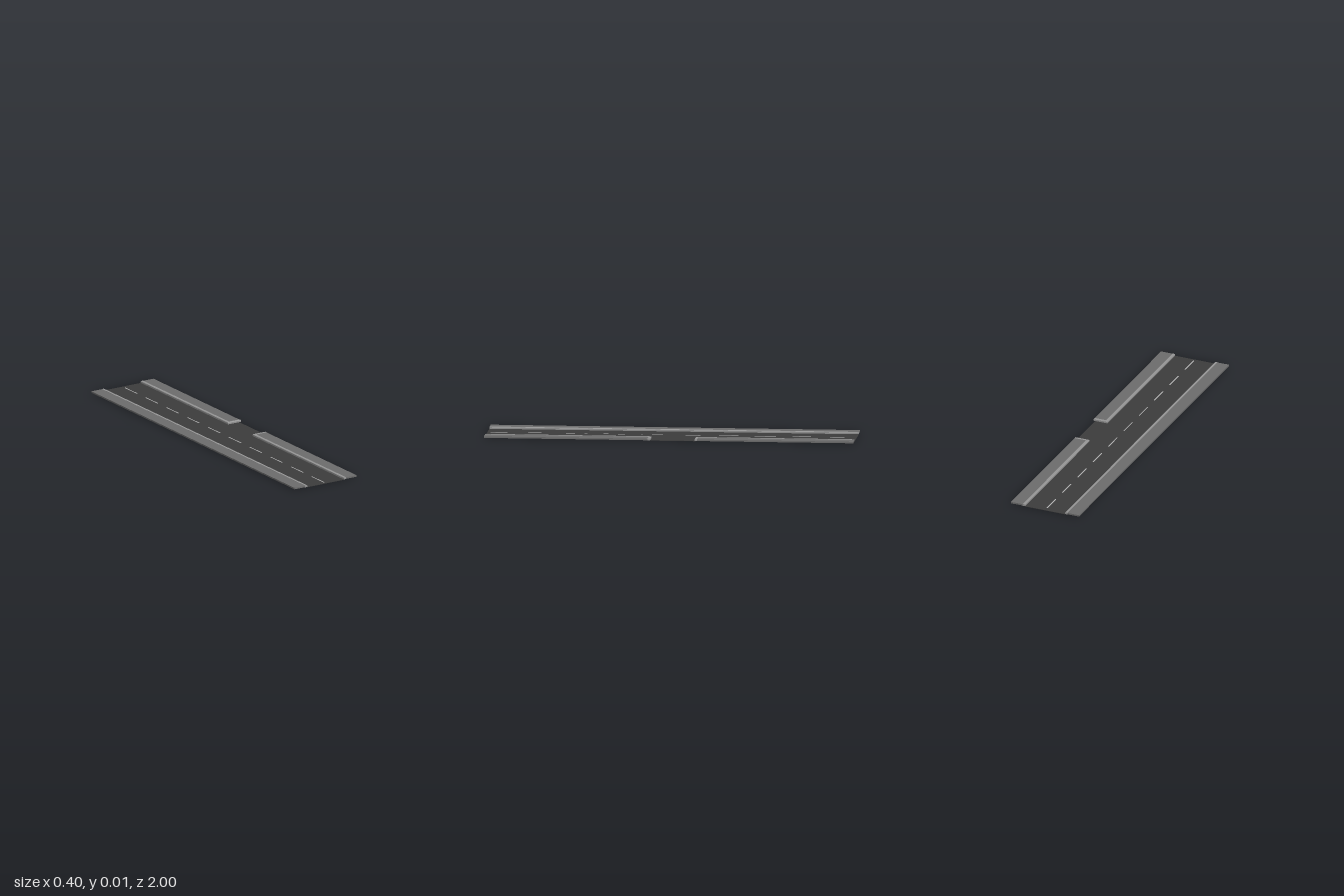
import * as THREE from 'three';

const material = (color) => new THREE.MeshStandardMaterial({ color, flatShading: true, side: THREE.DoubleSide });
const asphalt = material(0x3c3c3c);
const paving = material(0x6c6c6c);
const kerbstone = material(0x949494);
const paint = material(0xb4b4b4);

// Kerb cross-section: distance back from the road edge, height
const KERB = [[0, 0.002], [0, 0.0105], [0.002, 0.0125], [0.014, 0.0125], [0.014, 0.002]];
const EDGE = 0.118, OUTER = 0.2;

// Box given by its limits
function slab(name, mat, x0, x1, y0, y1, z0, z1) {
  const mesh = new THREE.Mesh(new THREE.BoxGeometry(x1 - x0, y1 - y0, z1 - z0), mat);
  mesh.position.set((x0 + x1) / 2, (y0 + y1) / 2, (z0 + z1) / 2);
  mesh.name = name;
  return mesh;
}

// Sweeps the kerb section along stations [x, z, inward x, inward z], mitred at corners
function kerb(name, stations) {
  const n = KERB.length, positions = [], index = [];
  for (const [x, z, dx, dz] of stations)
    for (const [d, y] of KERB) positions.push(x + dx * d, y, z + dz * d);
  for (let s = 0; s < stations.length - 1; s++) {
    for (let i = 0; i < n; i++) {
      const a = s * n + i, b = s * n + (i + 1) % n;
      index.push(a, b, a + n, b, b + n, a + n);
    }
  }
  const last = (stations.length - 1) * n;
  for (let i = 1; i < n - 1; i++) index.push(0, i + 1, i, last, last + i, last + i + 1);
  const geometry = new THREE.BufferGeometry();
  geometry.setAttribute('position', new THREE.Float32BufferAttribute(positions, 3));
  geometry.setIndex(index);
  geometry.computeVertexNormals();
  const mesh = new THREE.Mesh(geometry, kerbstone);
  mesh.name = name;
  return mesh;
}

export function createModel() {
  const group = new THREE.Group();
  group.name = 'roadSection';

  // Carriageway and the side entrance
  group.add(slab('roadSurface', asphalt, -0.12, 0.12, 0, 0.002, -1, 1));
  group.add(slab('sideEntrance', asphalt, 0.12, 0.19, 0, 0.002, -0.145, 0.105));

  // Continuous pavement
  group.add(slab('rightPavement', paving, -OUTER, -EDGE - 0.014, 0.003, 0.0115, -1, 1));
  group.add(kerb('rightKerb', [[-EDGE, -1, -1, 0], [-EDGE, 1, -1, 0]]));

  // Pavement broken by the entrance, its kerb turning the corner on both sides
  for (const [label, s, gap] of [['front', 1, 0.1], ['back', -1, 0.14]]) {
    const inner = s * (gap + 0.014);
    group.add(slab(label + 'LeftPavement', paving, EDGE + 0.014, OUTER, 0.003, 0.0115,
      Math.min(inner, s), Math.max(inner, s)));
    group.add(kerb(label + 'LeftKerb', [
      [EDGE, s, 1, 0], [EDGE, s * gap, 1, s], [OUTER, s * gap, 0, s],
    ]));
  }

  // Dashed centre line
  for (let i = 0; i < 10; i++) {
    const z = -0.915 + i * 0.2045;
    group.add(slab('centreDash', paint, -0.003, 0.003, 0.0015, 0.003, z - 0.058, z + 0.058));
  }
  return group;
}
